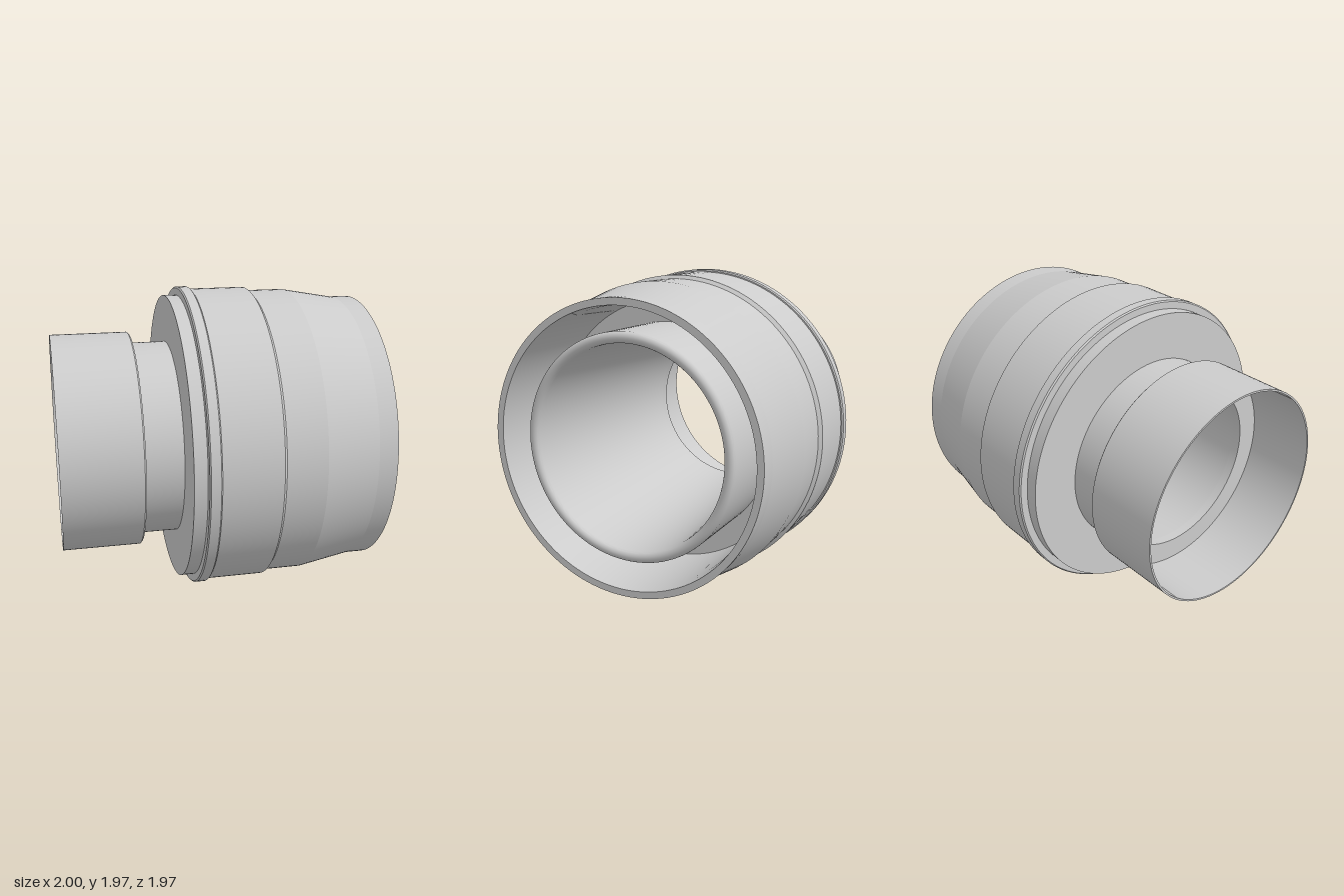
import * as THREE from 'three';
import { toCreasedNormals } from 'three/addons/utils/BufferGeometryUtils.js';

const RADIUS = 0.983;
const material = new THREE.MeshStandardMaterial({ color: 0xcccccc });

// Turns a profile of [x along the axis, radius] points around the x axis.
// Outer surfaces run towards +x, inner surfaces run back towards -x.
function turned(name, profile, crease = 0.1) {
  const points = profile.map(([x, r]) => new THREE.Vector2(r, x));
  const geometry = new THREE.LatheGeometry(points, 128);
  geometry.rotateZ(-Math.PI / 2);
  const mesh = new THREE.Mesh(toCreasedNormals(geometry, crease), material);
  mesh.name = name;
  return mesh;
}

export function createModel() {
  const group = new THREE.Group();
  group.name = 'pipeCoupling';

  // Outer housing: back plate, shoulder, tapered nose and the deep front groove
  group.add(turned('housing', [
    [-0.255, 0.60], [-0.255, 0.93], [-0.17, 0.93], [-0.17, 0.967],
    [-0.27 + 0.17, 0.967], [0.27, 0.967], [0.288, 0.945], [0.54, 0.945],
    [0.88, 0.885], [1, 0.885], [1, 0.842], [0.9, 0.835], [0.4, 0.83], [0.4, 0.60],
  ]));

  // Raised ring with slightly bevelled edges
  group.add(turned('raisedRing', [
    [-0.175, 0.92], [-0.175, 0.975], [-0.167, RADIUS], [-0.108, RADIUS],
    [-0.1, 0.975], [-0.1, 0.92],
  ]));

  // Inner sleeve: rounded front lip and a bore narrowing to the back
  const lip = [];
  for (let i = 0; i <= 10; i++) {
    const a = (i / 10) * Math.PI;
    lip.push([0.92 + 0.033 * Math.sin(a), 0.656 + 0.034 * Math.cos(a)]);
  }
  group.add(turned('innerSleeve', [[0.38, 0.69], ...lip, [-0.5, 0.545]], 0.5));

  // Rear pipe: thin-walled socket, inner stop face and narrower neck
  group.add(turned('rearPipe', [
    [-0.5, 0.545], [-0.56, 0.545], [-0.56, 0.69], [-1, 0.69], [-1, 0.702],
    [-0.505, 0.702], [-0.495, 0.692], [-0.495, 0.63], [-0.25, 0.63],
  ]));

  group.position.y = 0.985;
  const model = new THREE.Group();
  model.add(group);
  return model;
}
